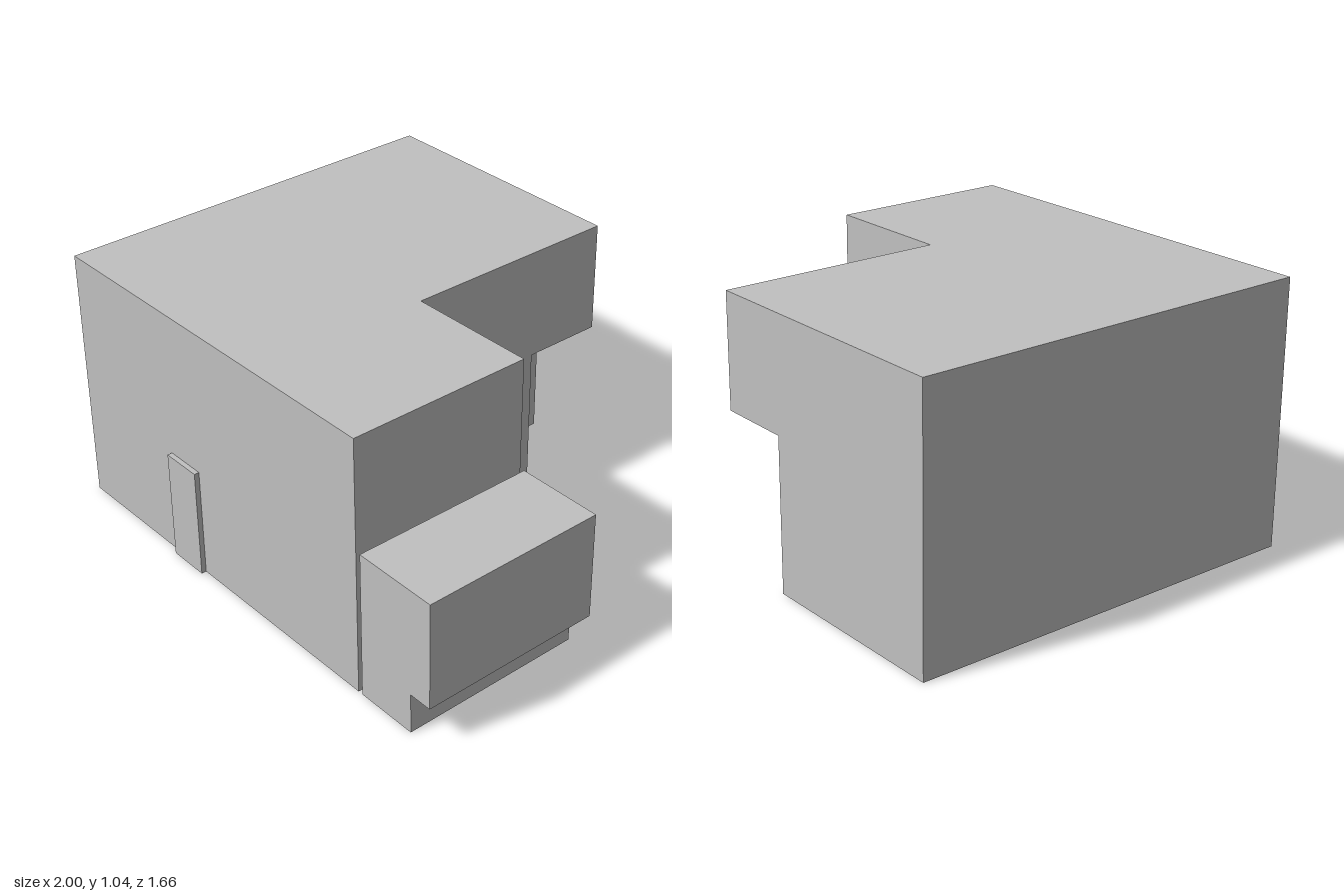
import * as THREE from 'three';

export function createModel() {
  const model = new THREE.Group();
  model.name = 'building';
  const grey = new THREE.MeshStandardMaterial({ color: 0xc0c0c0 });
  grey.name = 'plain grey';
  const greyThin = grey.clone();
  greyThin.side = THREE.DoubleSide;

  const H = 1.045, FRONT = 0.81, BACK = -0.83, INNER = 0.065;
  const RECESS = -0.2, SIDE = 0.1, SOFFIT = 0.6, LANDING = -0.5;

  const shapeOf = (pts) => new THREE.Shape(pts.map(([a, b]) => new THREE.Vector2(a, b)));
  const extrude = (pts, depth) =>
    new THREE.ExtrudeGeometry(shapeOf(pts), { depth, bevelEnabled: false });
  function add(name, geometry, material = grey) {
    const mesh = new THREE.Mesh(geometry, material);
    mesh.name = name;
    model.add(mesh);
    return mesh;
  }
  // Box given by its extents on each axis
  function block(name, [x0, x1], [y0, y1], [z0, z1]) {
    const mesh = add(name, new THREE.BoxGeometry(x1 - x0, y1 - y0, z1 - z0));
    mesh.position.set((x0 + x1) / 2, (y0 + y1) / 2, (z0 + z1) / 2);
  }

  // Main walls: L-shaped footprint drawn as (x, -z) and raised to full height
  const footprint = [
    [-1, -FRONT], [0.63, -FRONT], [0.63, -INNER],
    [RECESS, -INNER], [RECESS, -BACK], [-1, -BACK],
  ];
  add('mainWalls', extrude(footprint, H).rotateX(-Math.PI / 2));

  // Stepped underside of the stairs, drawn as (-z, y)
  const steps = 11;
  const stairLine = [[-INNER, 0]];
  for (let i = 0; i < steps; i++) {
    const y = SOFFIT * (i + 1) / steps;
    const z = (k) => INNER + (LANDING - INNER) * k / steps;
    stairLine.push([-z(i), y], [-z(i + 1), y]);
  }

  // Upper storey over the open porch and the stair hollow
  const overhang = [...stairLine, [-BACK, SOFFIT], [-BACK, H], [-INNER, H]];
  add('overhangWithStairs', extrude(overhang, SIDE - RECESS).rotateY(Math.PI / 2))
    .position.x = RECESS;

  // Thin wall closing the stair hollow on the courtyard side
  const under = [...stairLine, [-LANDING, 0]];
  add('stairSideWall', new THREE.ShapeGeometry(shapeOf(under)).rotateY(Math.PI / 2), greyThin)
    .position.x = SIDE;

  // Side annex with a notch along its lower outer edge
  const annex = [[0.65, 0], [0.905, 0], [0.905, 0.165], [1, 0.165], [1, 0.6], [0.65, 0.6]];
  add('sideAnnex', extrude(annex, FRONT - INNER)).position.z = INNER;

  // Doors
  block('frontDoor', [-0.44, -0.27], [0, 0.45], [FRONT, 0.83]);
  block('courtyardDoor', [0.27, 0.415], [0, 0.387], [0.046, INNER]);
  block('annexDoor', [0.63, 0.65], [0, 0.387], [0.12, 0.27]);
  block('porchDoor', [RECESS, RECESS + 0.02], [0, 0.387], [-0.69, -0.527]);

  return model;
}
